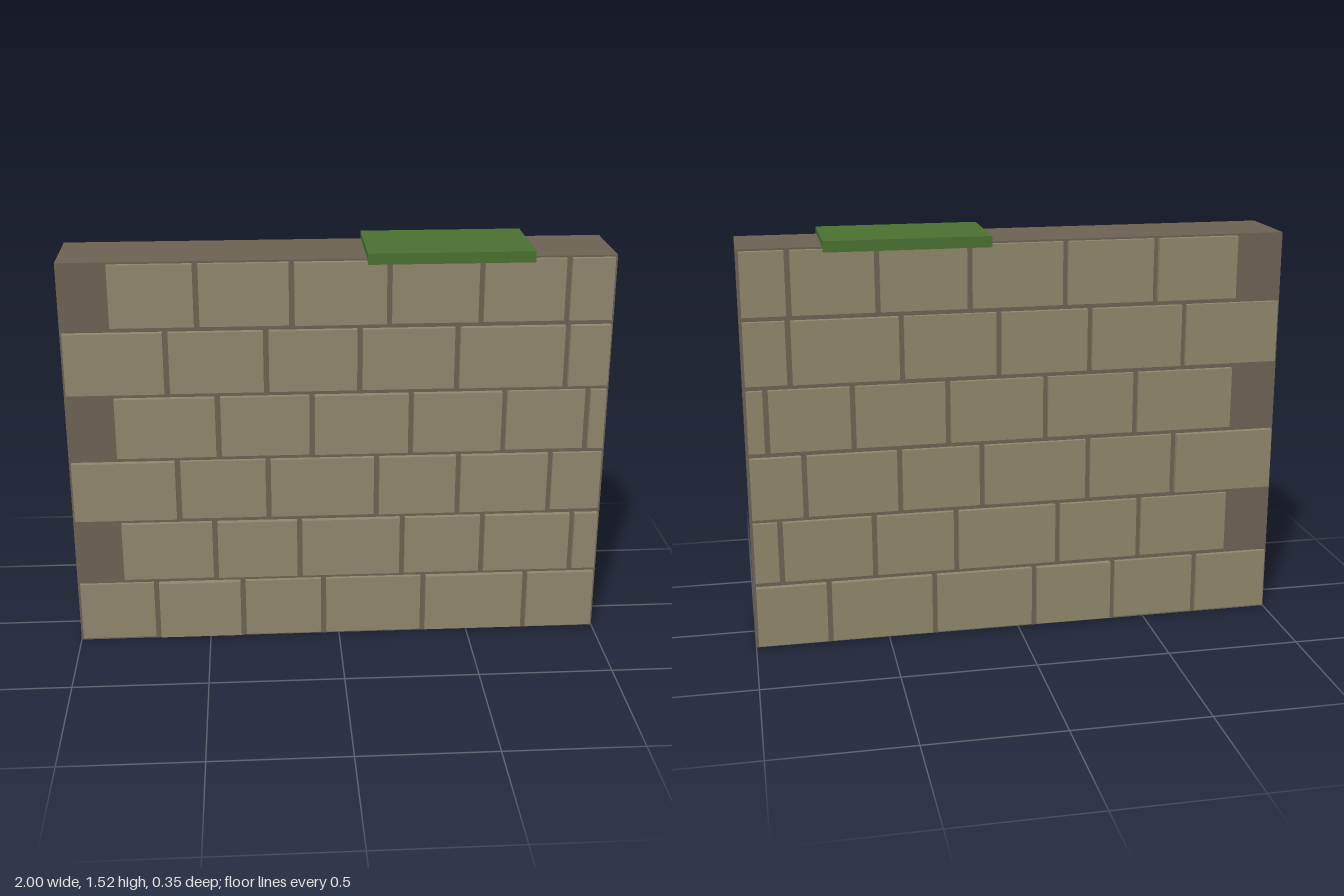
import * as THREE from 'three';

export function createModel() {
  const wall = new THREE.Group();
  wall.name = 'stoneWall';
  const mortar = new THREE.MeshStandardMaterial({ color: 0x6b6252 });
  const stone = new THREE.MeshStandardMaterial({ color: 0x8f866b });
  const moss = new THREE.MeshStandardMaterial({ color: 0x4a7030 });

  // box given by its minimum and maximum corners
  const addBox = (name, parent, material, [x0, y0, z0], [x1, y1, z1]) => {
    const mesh = new THREE.Mesh(new THREE.BoxGeometry(x1 - x0, y1 - y0, z1 - z0), material);
    mesh.position.set((x0 + x1) / 2, (y0 + y1) / 2, (z0 + z1) / 2);
    mesh.name = name;
    parent.add(mesh);
  };

  // small repeatable variation for the block depths
  let seed = 7;
  const random = () => (seed = (seed * 16807) % 2147483647) / 2147483647;

  addBox('mortarCore', wall, mortar, [-1, 0, -0.15], [1, 1.5, 0.15]);

  // centres of the joints in each course, bottom to top
  const courses = [
    [-1, -0.7, -0.37, -0.06, 0.325, 0.722, 1],
    [-0.83, -0.47, -0.15, 0.24, 0.547, 0.892, 1],
    [-1, -0.6, -0.265, 0.14, 0.447, 0.795, 1],
    [-0.83, -0.445, -0.1, 0.265, 0.612, 0.922, 1],
    [-1, -0.625, -0.265, 0.075, 0.43, 0.832, 1],
    [-0.83, -0.51, -0.17, 0.18, 0.512, 0.825, 1],
  ];
  const gap = 0.01;
  for (const side of [1, -1]) {
    const face = new THREE.Group();
    face.name = side > 0 ? 'frontBlocks' : 'backBlocks';
    courses.forEach((joints, row) => {
      for (let i = 0; i + 1 < joints.length; i++) {
        const depth = 0.162 + 0.012 * random();
        const z = [0.14 * side, depth * side].sort((a, b) => a - b);
        addBox('block', face, stone,
          [joints[i] + gap, row * 0.25 + 0.012, z[0]],
          [joints[i + 1] - gap, row * 0.25 + 0.243, z[1]]);
      }
    });
    wall.add(face);
  }

  // moss slab draped over the top edge
  addBox('mossPatch', wall, moss, [0.1, 1.483, -0.175], [0.7, 1.523, 0.175]);
  return wall;
}
